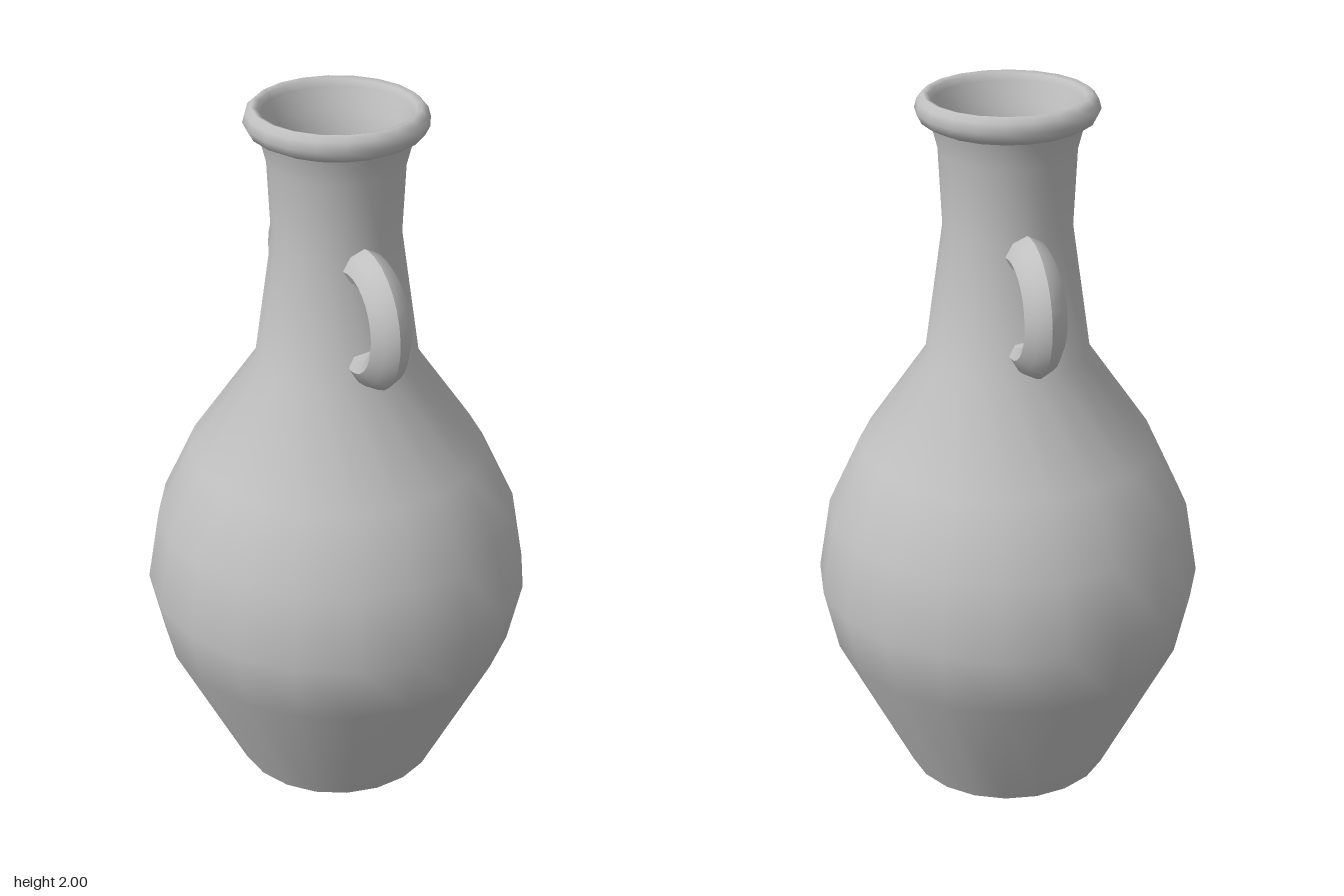
import * as THREE from 'three';
import { toCreasedNormals } from 'three/addons/utils/BufferGeometryUtils.js';

const SIDES = 20;

export function createModel() {
  const clay = new THREE.MeshStandardMaterial({ color: 0xc0c0c0 });
  clay.name = 'grey clay';
  const vase = new THREE.Group();
  vase.name = 'vase';

  const add = (geometry, name, parent = vase) => {
    const mesh = new THREE.Mesh(geometry, clay);
    mesh.name = name;
    parent.add(mesh);
    return mesh;
  };
  const lathe = (points) =>
    new THREE.LatheGeometry(points.map(([r, y]) => new THREE.Vector2(r, y)), SIDES);

  // Outer wall, from foot to neck
  add(lathe([
    [0.29, 0], [0.5, 0.42], [0.54, 0.6], [0.505, 0.81], [0.412, 1.01],
    [0.226, 1.28], [0.175, 1.64], [0.185, 1.85], [0.203, 1.92],
  ]), 'body');

  // Rolled lip around the mouth
  add(lathe([
    [0.203, 1.92], [0.232, 1.935], [0.245, 1.96], [0.238, 1.985],
    [0.222, 2], [0.207, 1.995], [0.2, 1.975],
  ]), 'lip');

  // Inner wall, from mouth down to the floor
  add(lathe([
    [0.2, 1.975], [0.178, 1.92], [0.157, 1.85], [0.145, 1.64], [0.196, 1.27],
    [0.385, 0.99], [0.475, 0.8], [0.508, 0.6], [0.472, 0.43], [0.275, 0.03],
  ]), 'innerWall');

  // Underside and inner floor
  const base = add(new THREE.CircleGeometry(0.29, SIDES), 'base');
  base.rotation.x = Math.PI / 2;
  const floor = add(new THREE.CircleGeometry(0.275, SIDES), 'innerFloor');
  floor.rotation.x = -Math.PI / 2;
  floor.position.y = 0.03;

  // Ring handles, front and back
  const handleGeometry = createHandle();
  for (const [name, turn] of [['frontHandle', 0], ['backHandle', Math.PI]]) {
    const holder = new THREE.Group();
    holder.rotation.y = turn;
    vase.add(holder);
    add(handleGeometry, name, holder).position.set(0, 1.48, 0.21);
  }
  return vase;
}

// Sweeps a lens-shaped section, ridged on its outer edge, around an open ring
function createHandle() {
  const section = [
    [0.19, 0], [0.172, 0.036], [0.135, 0.058], [0.105, 0.042],
    [0.095, 0], [0.105, -0.042], [0.135, -0.058], [0.172, -0.036],
  ];
  const steps = 16, n = section.length;
  const start = THREE.MathUtils.degToRad(-98), end = THREE.MathUtils.degToRad(107);
  const positions = [], index = [];
  for (let i = 0; i <= steps; i++) {
    const a = start + (end - start) * i / steps;
    for (const [r, x] of section) positions.push(x, r * Math.sin(a), r * Math.cos(a));
  }
  for (let i = 0; i < steps; i++) {
    for (let j = 0; j < n; j++) {
      const a = i * n + j, b = i * n + (j + 1) % n;
      index.push(a, b, b + n, a, b + n, a + n);
    }
  }
  // End caps
  const last = steps * n;
  for (let j = 1; j < n - 1; j++) {
    index.push(0, j + 1, j, last, last + j, last + j + 1);
  }
  const geometry = new THREE.BufferGeometry();
  geometry.setAttribute('position', new THREE.Float32BufferAttribute(positions, 3));
  geometry.setIndex(index);
  return toCreasedNormals(geometry, THREE.MathUtils.degToRad(40));
}
